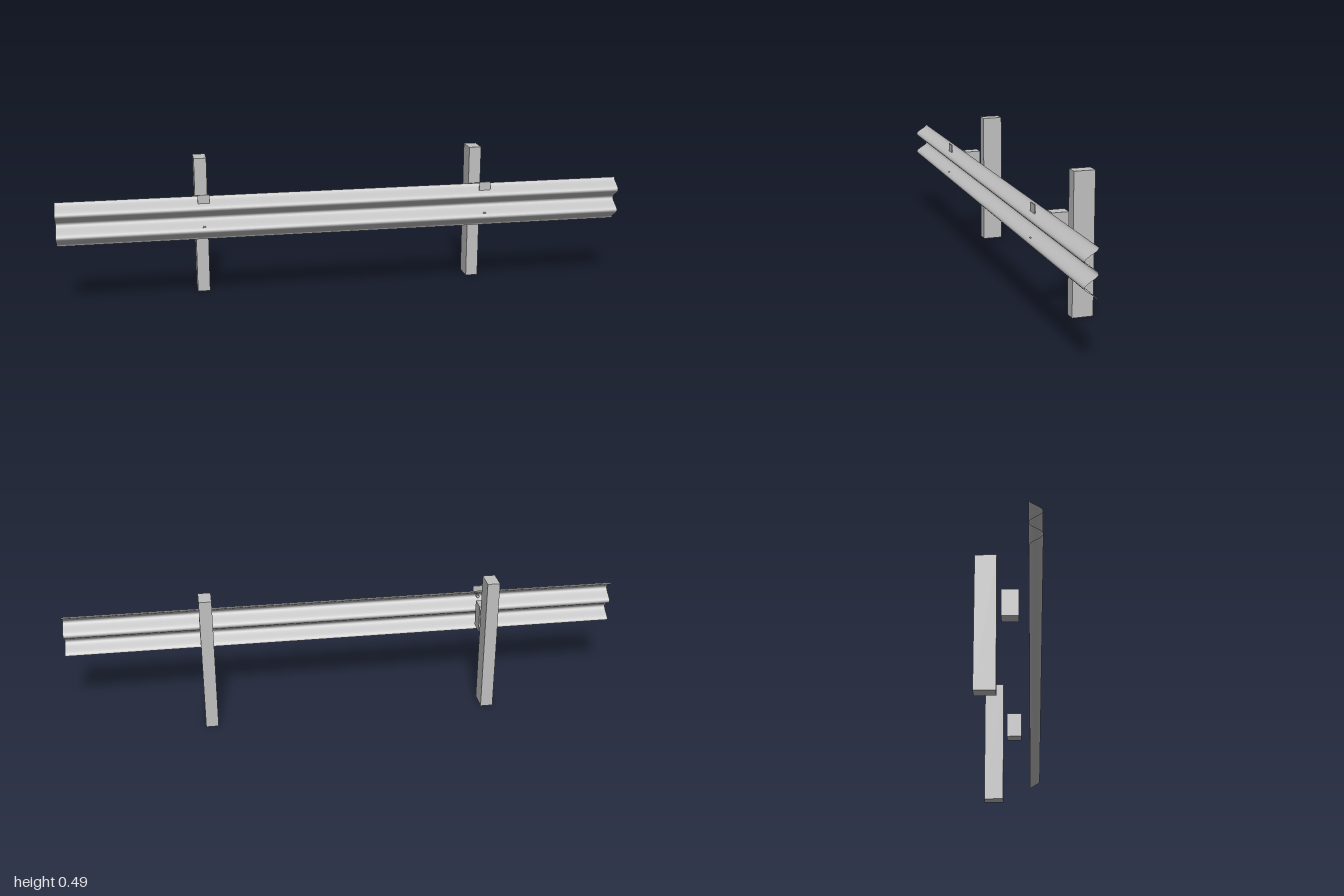
import * as THREE from 'three';

const steel = new THREE.MeshStandardMaterial({ color: 0xc0c0c0, side: THREE.DoubleSide });
steel.name = 'galvanised steel';

// Corrugated sheet: a two-wave profile swept along x
function railGeometry() {
  const bottom = 0.227, height = 0.155, waves = 2, steps = 48;
  const geo = new THREE.PlaneGeometry(2, height, 1, steps);
  const pos = geo.attributes.position, nor = geo.attributes.normal;
  const k = (Math.PI * 2 * waves) / height;
  for (let i = 0; i < pos.count; i++) {
    const h = pos.getY(i) + height / 2;
    pos.setY(i, bottom + h);
    pos.setZ(i, 0.09 - 0.021 * Math.cos(k * h));
    const n = new THREE.Vector3(0, -0.021 * k * Math.sin(k * h), 1).normalize();
    nor.setXYZ(i, n.x, n.y, n.z);
  }
  return geo;
}

export function createModel() {
  const model = new THREE.Group();
  model.name = 'guardrail';

  const add = (name, geo, x, y, z) => {
    const mesh = new THREE.Mesh(geo, steel);
    mesh.name = name;
    mesh.position.set(x, y, z);
    model.add(mesh);
    return mesh;
  };

  add('rail', railGeometry(), 0, 0, 0);

  const post = new THREE.BoxGeometry(0.044, 0.49, 0.073);
  const spacer = new THREE.BoxGeometry(0.044, 0.098, 0.057);
  const reflector = new THREE.BoxGeometry(0.04, 0.03, 0.004);
  const bolt = new THREE.CylinderGeometry(0.0057, 0.0057, 0.009, 12).rotateX(Math.PI / 2);

  // Supports and fittings repeat at both posts
  for (const x of [-0.5, 0.5]) {
    add('post', post, x, 0.245, -0.0725);
    add('spacerBlock', spacer, x, 0.311, 0.0075);
    add('reflector', reflector, x, 0.376, 0.093);
    for (const y of [0.276, 0.346]) add('bolt', bolt, x, y, 0.098);
  }
  return model;
}
